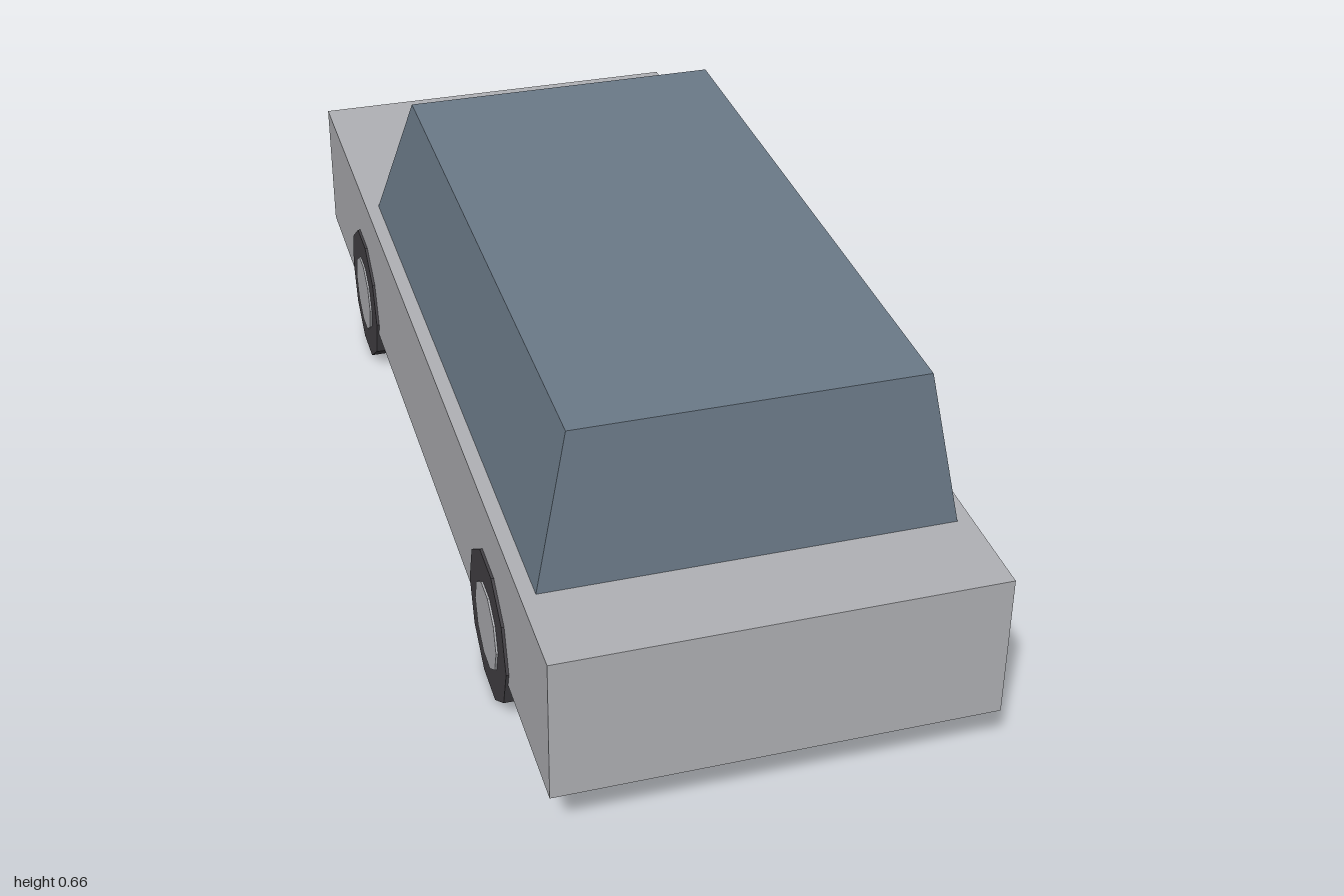
import * as THREE from 'three';

const paint = (name, color) => {
  const m = new THREE.MeshStandardMaterial({ color });
  m.name = name;
  return m;
};

export function createModel() {
  const bodyGrey = paint('bodyGrey', 0xb0b1b5);
  const cabinBlue = paint('cabinBlue', 0x6b7a88);
  const tyreBlack = paint('tyreBlack', 0x434145);

  const car = new THREE.Group();
  car.name = 'car';
  const add = (parent, name, geometry, material, x, y, z) => {
    const mesh = new THREE.Mesh(geometry, material);
    mesh.name = name;
    mesh.position.set(x, y, z);
    parent.add(mesh);
    return mesh;
  };

  // Lower body slab
  add(car, 'body', new THREE.BoxGeometry(0.772, 0.27, 2), bodyGrey, 0, 0.237, 0);

  // Cabin: a box tapered at the top, with a steep slope at the rear
  const cabin = new THREE.BoxGeometry(1, 0.288, 1);
  const p = cabin.attributes.position;
  for (let i = 0; i < p.count; i++) {
    const top = p.getY(i) > 0;
    const halfWidth = top ? 0.303 : 0.36;
    const front = top ? 0.806 : 0.826;
    const back = top ? -0.388 : -0.523;
    p.setX(i, Math.sign(p.getX(i)) * halfWidth);
    p.setZ(i, p.getZ(i) > 0 ? front : back);
  }
  cabin.computeVertexNormals();
  add(car, 'cabin', cabin, cabinBlue, 0, 0.516, 0);

  // Four ten-sided wheels, each with a hub showing on both faces
  const cylinder = (radius, width) => {
    const g = new THREE.CylinderGeometry(radius, radius, width, 10).toNonIndexed();
    g.computeVertexNormals();
    return g.rotateZ(Math.PI / 2);
  };
  const tyre = cylinder(0.139, 0.104);
  const hub = cylinder(0.08, 0.111);
  for (const [end, z] of [['front', 0.588], ['rear', -0.586]]) {
    for (const [side, s] of [['Left', 1], ['Right', -1]]) {
      const wheel = new THREE.Group();
      wheel.name = `${end}${side}Wheel`;
      wheel.position.set(s * 0.339, 0.132, z);
      add(wheel, 'tyre', tyre, tyreBlack, 0, 0, 0);
      add(wheel, 'hub', hub, bodyGrey, 0, 0, 0);
      car.add(wheel);
    }
  }
  return car;
}
